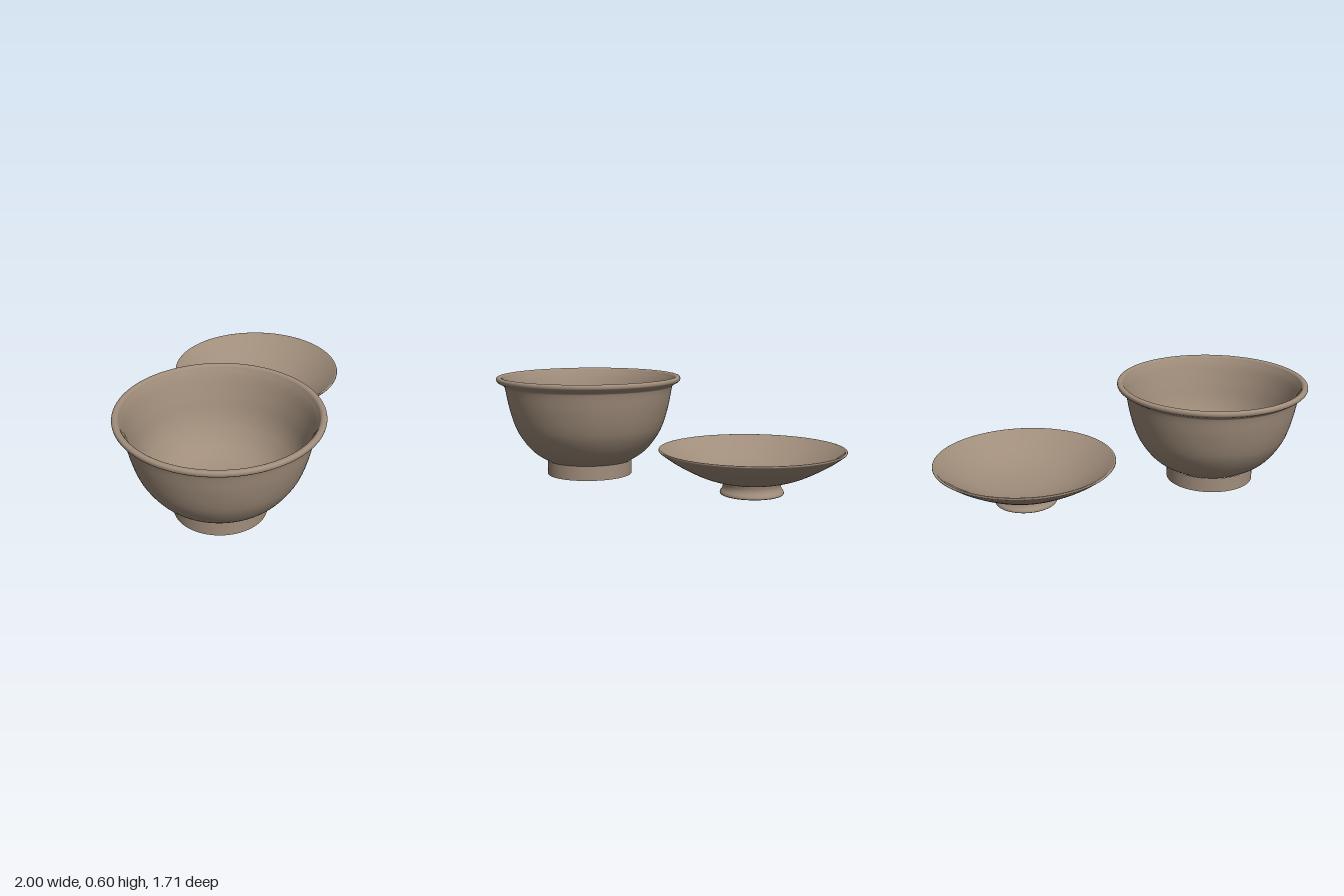
import * as THREE from 'three';

const clay = new THREE.MeshStandardMaterial({ color: 0xa08d7b });
clay.name = 'clay';

// Revolves a profile of [radius, height] pairs; smooth ones follow a spline
function turned(name, pairs, smoothSteps = 0) {
  let pts = pairs.map(([r, y]) => new THREE.Vector2(r, y));
  if (smoothSteps) pts = new THREE.SplineCurve(pts).getPoints(smoothSteps);
  pts.forEach((p) => { p.x = Math.max(p.x, 0); });
  const mesh = new THREE.Mesh(new THREE.LatheGeometry(pts, 96), clay);
  mesh.name = name;
  return mesh;
}

function createBowl() {
  const bowl = new THREE.Group();
  bowl.name = 'bowl';
  bowl.add(
    // hollow foot ring: recess, underside and outer wall
    turned('footRecess', [[0, 0.06], [0.14, 0.055], [0.19, 0.035], [0.212, 0]], 16),
    turned('footUnderside', [[0.212, 0], [0.255, 0]]),
    turned('footWall', [[0.255, 0], [0.255, 0.087]]),
    // outer wall
    turned('outerWall', [[0.245, 0.083], [0.318, 0.127], [0.372, 0.178], [0.425, 0.255],
      [0.457, 0.33], [0.484, 0.43], [0.502, 0.525], [0.512, 0.545], [0.54, 0.562]], 48),
    // rolled lip
    turned('lip', [[0.54, 0.562], [0.551, 0.572], [0.553, 0.585], [0.548, 0.594],
      [0.535, 0.597], [0.522, 0.592], [0.514, 0.578]], 24),
    // inner wall and floor
    turned('innerWall', [[0.514, 0.578], [0.495, 0.535], [0.463, 0.43], [0.435, 0.33],
      [0.4, 0.255], [0.34, 0.18], [0.25, 0.125], [0.13, 0.1], [0, 0.095]], 48),
  );
  return bowl;
}

function createSaucer() {
  const saucer = new THREE.Group();
  saucer.name = 'saucer';
  saucer.add(
    // flared hollow foot
    turned('footRecess', [[0, 0.075], [0.1, 0.073], [0.13, 0.06], [0.138, 0.04], [0.15, 0.015]], 20),
    turned('footUnderside', [[0.15, 0.015], [0.168, 0.015]]),
    turned('footWall', [[0.168, 0.015], [0.174, 0.02], [0.172, 0.031], [0.162, 0.047],
      [0.158, 0.065], [0.162, 0.088]], 20),
    // shallow dish
    turned('outerWall', [[0.155, 0.083], [0.24, 0.105], [0.322, 0.138], [0.43, 0.197],
      [0.505, 0.25]], 32),
    turned('rim', [[0.505, 0.25], [0.509, 0.256], [0.507, 0.262], [0.499, 0.262], [0.493, 0.257]], 12),
    turned('innerWall', [[0.493, 0.257], [0.42, 0.208], [0.322, 0.155], [0.22, 0.119],
      [0.11, 0.1], [0, 0.095]], 32),
  );
  return saucer;
}

export function createModel() {
  const model = new THREE.Group();
  model.name = 'bowlAndSaucer';
  const bowl = createBowl();
  bowl.position.set(-0.447, 0, 0.298);
  const saucer = createSaucer();
  saucer.position.set(0.491, 0, -0.346);
  model.add(bowl, saucer);
  return model;
}
